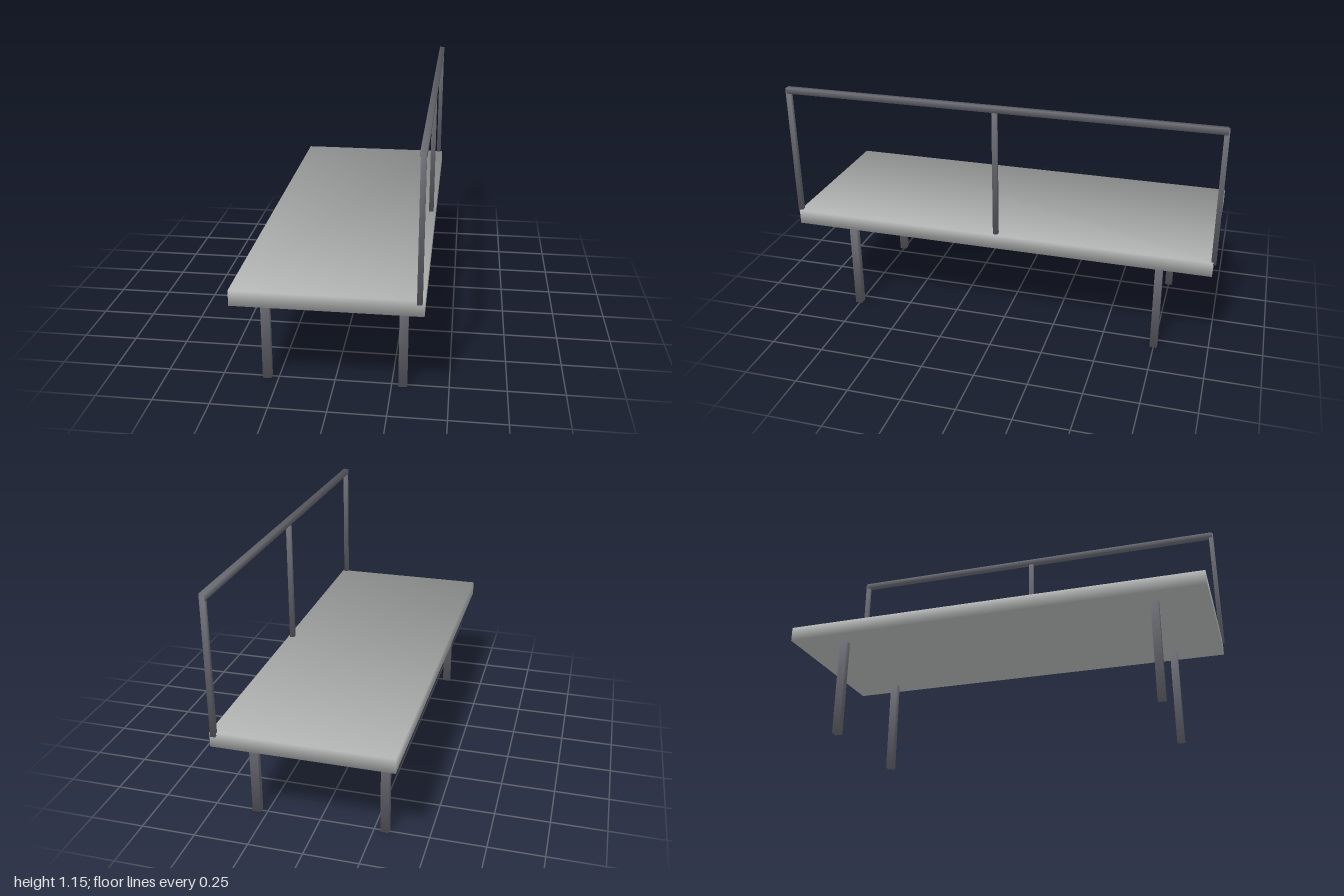
import * as THREE from 'three';
import { mergeVertices } from 'three/addons/utils/BufferGeometryUtils.js';

const seatMaterial = new THREE.MeshStandardMaterial({ color: 0xb8baba });
const frameMaterial = new THREE.MeshStandardMaterial({ color: 0x6c6d75 });

// Box between two corners; each corner has one normal pointing diagonally outwards
function softBox(name, material, [x0, y0, z0], [x1, y1, z1]) {
  let geometry = new THREE.BoxGeometry(2, 2, 2);
  geometry.deleteAttribute('normal');
  geometry.deleteAttribute('uv');
  geometry = mergeVertices(geometry);
  geometry.setAttribute('normal', geometry.getAttribute('position').clone());
  geometry.normalizeNormals();
  const position = geometry.getAttribute('position');
  for (let i = 0; i < position.count; i++) {
    position.setXYZ(
      i,
      position.getX(i) * (x1 - x0) / 2,
      position.getY(i) * (y1 - y0) / 2,
      position.getZ(i) * (z1 - z0) / 2,
    );
  }
  const mesh = new THREE.Mesh(geometry, material);
  mesh.name = name;
  mesh.position.set((x0 + x1) / 2, (y0 + y1) / 2, (z0 + z1) / 2);
  return mesh;
}

export function createModel() {
  const bench = new THREE.Group();
  bench.name = 'bench';

  // Seat slab
  bench.add(softBox('seat', seatMaterial, [-0.397, 0.462, -0.987], [0.394, 0.53, 0.99]));

  // Four square legs
  for (const x of [-0.301, 0.299]) {
    for (const z of [-0.749, 0.754]) {
      bench.add(softBox('leg', frameMaterial, [x - 0.019, 0, z - 0.017], [x + 0.019, 0.465, z + 0.017]));
    }
  }

  // Open backrest: three posts under a long rail
  const backrest = new THREE.Group();
  backrest.name = 'backrest';
  for (const z of [-0.989, 0.002, 0.989]) {
    const top = z === 0.002 ? 1.13 : 1.145;
    backrest.add(softBox('backPost', frameMaterial, [0.363, 0.517, z - 0.011], [0.385, top, z + 0.011]));
  }
  backrest.add(softBox('topRail', frameMaterial, [0.361, 1.122, -0.995], [0.387, 1.15, 0.995]));
  bench.add(backrest);

  return bench;
}
